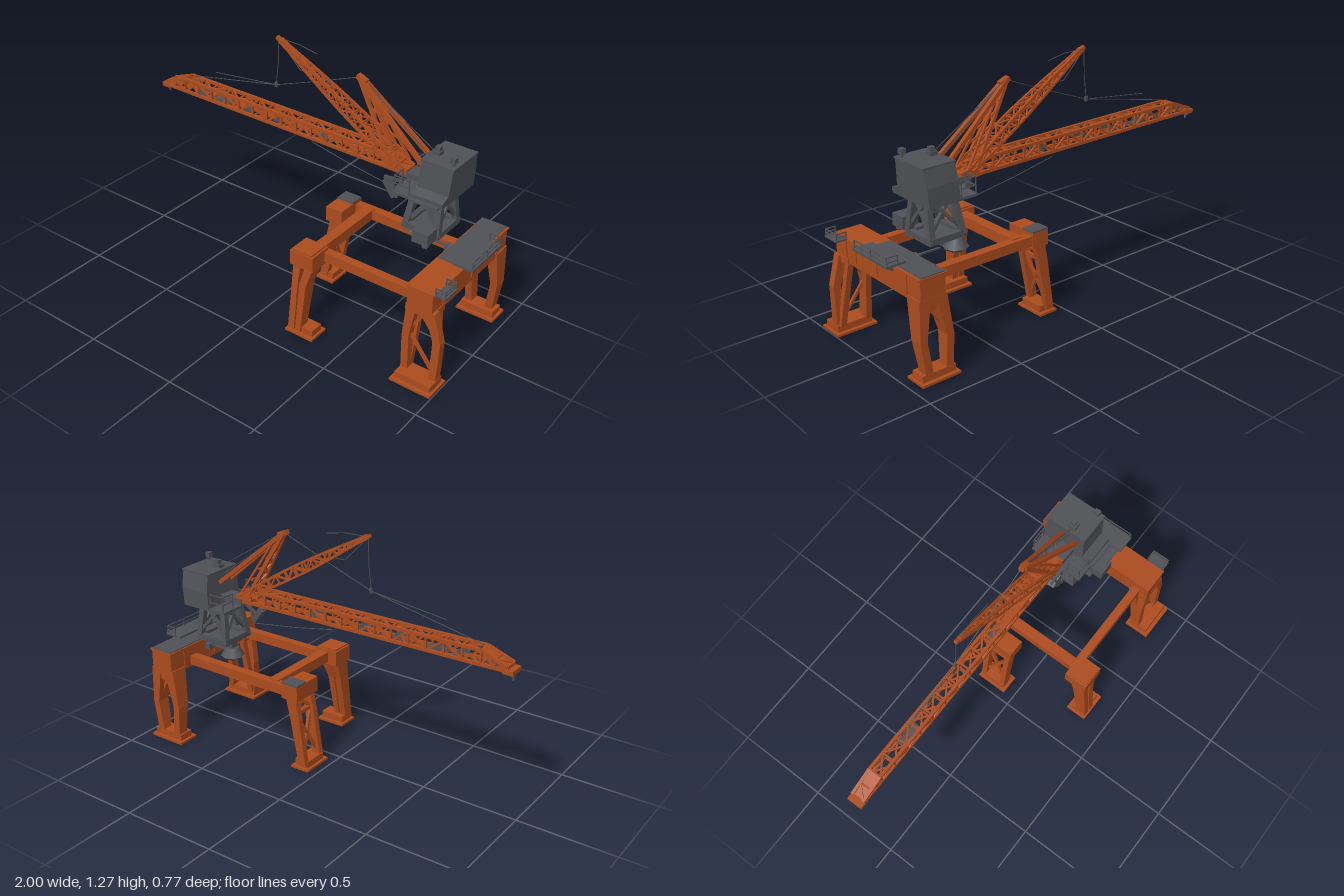
import * as THREE from 'three';
import { mergeGeometries } from 'three/addons/utils/BufferGeometryUtils.js';

const V = (p) => new THREE.Vector3(...p);
const lerp = (a, b, t) => a.map((v, i) => v + (b[i] - v) * t);

// box given by its limits on each axis
function box(x0, x1, y0, y1, z0, z1) {
  return new THREE.BoxGeometry(x1 - x0, y1 - y0, z1 - z0)
    .translate((x0 + x1) / 2, (y0 + y1) / 2, (z0 + z1) / 2);
}

// square or flat bar from a to b
function bar(a, b, w = 0.01, d = w) {
  const A = V(a), B = V(b), dir = B.clone().sub(A);
  const len = dir.length();
  const up = Math.abs(dir.z) > 0.95 * len ? new THREE.Vector3(0, 1, 0) : new THREE.Vector3(0, 0, 1);
  const m = new THREE.Matrix4().lookAt(B, A, up).setPosition(A.add(B).multiplyScalar(0.5));
  return new THREE.BoxGeometry(w, d, len).applyMatrix4(m);
}

const path = (pts, w, d = w) => pts.slice(1).map((p, i) => bar(pts[i], p, w, d));

// bent, tapering post through level sections [x, y, z, width, depth], listed from the top down
function post(sections) {
  return sections.slice(1).map((low, i) => {
    const g = new THREE.BoxGeometry(1, 1, 1), p = g.attributes.position;
    for (let k = 0; k < p.count; k++) {
      const s = p.getY(k) > 0 ? sections[i] : low;
      p.setXYZ(k, s[0] + p.getX(k) * s[3], s[1], s[2] + p.getZ(k) * s[4]);
    }
    g.computeVertexNormals();
    return g;
  });
}

// X brace between two edges a0-a1 and b0-b1
const cross = (a0, a1, b0, b1, w) => [bar(a0, b1, w), bar(b0, a1, w)];

// four-chord lattice through a list of sections (each: 4 corners in a ring)
function lattice(sections, chord, web) {
  const out = [];
  sections.forEach((s, i) => {
    for (let k = 0; k < 4; k++) {
      const n = (k + 1) % 4;
      out.push(bar(s[k], s[n], web));
      const t = sections[i + 1];
      if (!t) continue;
      out.push(bar(s[k], t[k], chord));
      out.push(i % 2 ? bar(s[k], t[n], web) : bar(s[n], t[k], web));
    }
  });
  return out;
}

// posts with standing handrail around a list of points
function railing(pts, h, w = 0.005) {
  const up = (p, f) => [p[0], p[1] + h * f, p[2]];
  return [
    ...pts.map((p) => bar(p, up(p, 1), w)),
    ...path(pts.map((p) => up(p, 1)), w), ...path(pts.map((p) => up(p, 0.5)), w),
  ];
}

export function createModel() {
  const orange = new THREE.MeshStandardMaterial({ color: 0xab4b1e });
  const gray = new THREE.MeshStandardMaterial({ color: 0x505156 });
  gray.side = THREE.DoubleSide;
  orange.name = 'rustOrange'; gray.name = 'slateGray';

  const model = new THREE.Group();
  const add = (name, mat, geos) => {
    const m = new THREE.Mesh(mergeGeometries(geos), mat);
    m.name = name;
    model.add(m);
  };

  // portal frame
  add('mainBeam', orange, [
    box(0.805, 0.935, 0.38, 0.5, -0.365, 0.305), box(0.798, 0.942, 0.494, 0.502, -0.37, 0.308),
    ...[-0.27, -0.04, 0.13, 0.21].map((z) => box(0.8, 0.94, 0.4, 0.5, z, z + 0.008)),
    box(0.80, 0.94, 0.368, 0.4, 0.2, 0.306), box(0.80, 0.94, 0.368, 0.4, -0.366, -0.27),
  ]);
  add('beamDeck', gray, [box(0.805, 0.93, 0.502, 0.507, -0.365, 0.05)]);
  add('tieBeams', orange, [
    box(0.30, 0.81, 0.39, 0.44, 0.215, 0.258),
    box(0.15, 0.81, 0.39, 0.44, -0.222, -0.175),
    box(0.24, 0.295, 0.39, 0.445, -0.2, 0.26),
  ]);

  // legs: two bent posts on a foot
  const leg = (name, p, q, foot, braces) => {
    const [x0, x1, z0, z1] = foot;
    add(name, orange, [
      ...post(p), ...post(q), ...braces,
      box(x0, x1, 0, 0.012, z0, z1), box(x0 + 0.015, x1 - 0.012, 0.01, 0.045, z0 + 0.02, z1 - 0.02),
    ]);
  };
  const rear = (z) => [[0.15, 0.41, z, 0.06, 0.03], [0.122, 0.28, z, 0.055, 0.03], [0.078, 0.02, z, 0.042, 0.03]];
  const [r1, r2] = [-0.085, -0.205];
  leg('backRightLeg', rear(r1), rear(r2), [0.04, 0.145, -0.225, -0.055], [
    ...cross([0.085, 0.06, r1], [0.125, 0.29, r1], [0.085, 0.06, r2], [0.125, 0.29, r2], 0.016),
    ...cross([0.125, 0.3, r1], [0.145, 0.39, r1], [0.125, 0.3, r2], [0.145, 0.39, r2], 0.014),
    bar([0.125, 0.295, r1], [0.125, 0.295, r2], 0.018),
  ]);
  leg('frontRightLeg',
    [[0.222, 0.41, 0.29, 0.045, 0.09], [0.217, 0.28, 0.315, 0.035, 0.07], [0.212, 0.02, 0.35, 0.035, 0.055]],
    [[0.298, 0.41, 0.29, 0.045, 0.09], [0.262, 0.28, 0.315, 0.038, 0.07], [0.252, 0.02, 0.35, 0.03, 0.055]],
    [0.182, 0.342, 0.27, 0.385], [bar([0.217, 0.28, 0.315], [0.262, 0.28, 0.315], 0.02)]);
  leg('frontLeftLeg',
    [[0.83, 0.4, 0.285, 0.05, 0.04], [0.807, 0.22, 0.285, 0.036, 0.04], [0.815, 0.02, 0.29, 0.036, 0.045]],
    [[0.925, 0.4, 0.285, 0.05, 0.04], [0.968, 0.25, 0.285, 0.04, 0.04], [0.962, 0.02, 0.29, 0.036, 0.045]],
    [0.78, 0.995, 0.24, 0.38], [
      bar([0.83, 0.39, 0.22], [0.815, 0.04, 0.268], 0.03), bar([0.92, 0.39, 0.22], [0.955, 0.04, 0.268], 0.03),
      bar([0.81, 0.25, 0.28], [0.9, 0.38, 0.28], 0.014), bar([0.96, 0.25, 0.28], [0.86, 0.38, 0.28], 0.014),
      bar([0.81, 0.24, 0.28], [0.95, 0.06, 0.28], 0.014),
    ]);
  leg('backLeftLeg',
    [[0.828, 0.4, -0.318, 0.06, 0.095], [0.787, 0.2, -0.333, 0.036, 0.07], [0.795, 0.02, -0.342, 0.04, 0.05]],
    [[0.912, 0.4, -0.318, 0.06, 0.095], [0.928, 0.2, -0.333, 0.036, 0.07], [0.9, 0.02, -0.342, 0.04, 0.05]],
    [0.75, 0.955, -0.388, -0.27], [
      ...post([[0.87, 0.4, -0.318, 0.1, 0.08], [0.87, 0.335, -0.322, 0.03, 0.07]]),
      bar([0.87, 0.34, -0.322], [0.8, 0.24, -0.33], 0.018), bar([0.87, 0.34, -0.322], [0.92, 0.24, -0.33], 0.018),
    ]);
  add('legCaps', orange, [
    box(0.1, 0.195, 0.375, 0.455, -0.225, -0.055), box(0.19, 0.32, 0.375, 0.455, 0.225, 0.35),
    box(0.2, 0.31, 0.455, 0.463, 0.235, 0.345),
  ]);
  add('legCapCover', gray, [box(0.1, 0.195, 0.455, 0.462, -0.225, -0.15)]);

  // service platform beside the beam
  add('sidePlatform', gray, [
    box(0.89, 0.992, 0.507, 0.518, -0.2, 0.065),
    ...railing([[0.985, 0.51, 0.06], [0.985, 0.51, -0.07], [0.985, 0.51, -0.195], [0.93, 0.51, -0.195]], 0.045),
    bar([0.94, 0.48, 0.03], [0.985, 0.51, 0.03], 0.01), bar([0.94, 0.48, -0.17], [0.985, 0.51, -0.17], 0.01),
    box(0.94, 0.995, 0.495, 0.503, 0.2, 0.3),
    ...railing([[0.94, 0.5, 0.205], [0.99, 0.5, 0.205], [0.99, 0.5, 0.295], [0.94, 0.5, 0.295]], 0.034),
  ]);

  // slewing tower
  const ring = (x0, x1, y, z0, z1) => [[x0, y, z0], [x1, y, z0], [x1, y, z1], [x0, y, z1]];
  const low = ring(0.58, 0.75, 0.56, -0.19, -0.025), high = ring(0.61, 0.74, 0.75, -0.16, -0.055);
  const tower = [box(0.565, 0.765, 0.545, 0.56, -0.205, -0.01), box(0.6, 0.75, 0.725, 0.745, -0.175, -0.04)];
  low.forEach((p, i) => {
    const n = (i + 1) % 4;
    tower.push(bar(p, high[i], 0.03), bar(p, low[n], 0.03));
    const a = lerp(p, high[i], 0.15), b = lerp(low[n], high[n], 0.15);
    tower.push(...cross(a, high[i], b, high[n], 0.016));
  });
  add('tower', gray, tower);
  add('winchBoxes', gray, [
    box(0.68, 0.765, 0.56, 0.62, 0.005, 0.085), box(0.69, 0.72, 0.54, 0.56, 0.015, 0.04),
    box(0.73, 0.755, 0.54, 0.56, 0.05, 0.075), box(0.66, 0.75, 0.55, 0.56, -0.03, 0.03),
  ]);
  add('grab', gray, [
    new THREE.CylinderGeometry(0.035, 0.062, 0.045, 8).translate(0.58, 0.5, -0.14),
    new THREE.CylinderGeometry(0.062, 0.045, 0.014, 8).translate(0.58, 0.47, -0.14),
    box(0.565, 0.6, 0.515, 0.55, -0.16, -0.12),
  ]);
  add('lowerRail', gray, [bar([0.64, 0.472, -0.1], [0.8, 0.472, -0.1], 0.008), box(0.76, 0.79, 0.45, 0.48, -0.12, -0.08)]);

  // machinery house, profile in z and y, leaning slightly back with height
  const house = new THREE.Shape([[0.03, 0.74], [0.03, 0.768], [-0.015, 0.785], [-0.025, 0.922],
    [-0.232, 0.922], [-0.25, 0.835], [-0.25, 0.74]].map((p) => new THREE.Vector2(-p[0], p[1])));
  const houseGeo = new THREE.ExtrudeGeometry(house, { depth: 0.165, bevelEnabled: false }).rotateY(Math.PI / 2);
  const hp = houseGeo.attributes.position;
  for (let i = 0; i < hp.count; i++) hp.setX(i, hp.getX(i) + 0.628 + (hp.getY(i) - 0.74) * 0.08);
  houseGeo.computeVertexNormals();
  add('machineryHouse', gray, [houseGeo]);
  add('houseRoof', gray, [
    box(0.638, 0.812, 0.918, 0.926, -0.236, -0.02),
    box(0.655, 0.695, 0.926, 0.945, -0.13, -0.09), box(0.665, 0.69, 0.945, 0.965, -0.125, -0.1),
    box(0.785, 0.795, 0.926, 0.945, -0.06, -0.05), box(0.778, 0.802, 0.942, 0.967, -0.07, -0.04),
  ]);
  add('walkway', gray, [
    box(0.53, 0.635, 0.74, 0.752, -0.25, 0.04), box(0.63, 0.78, 0.74, 0.75, 0.02, 0.05),
    ...railing([[0.62, 0.75, 0.03], [0.54, 0.75, 0.03], [0.54, 0.75, -0.04]], 0.08),
    ...railing([[0.54, 0.75, -0.17], [0.54, 0.75, -0.245], [0.62, 0.75, -0.245]], 0.08),
    box(0.5, 0.64, 0.77, 0.8, -0.15, -0.07),
  ]);
  // hanging bracket under the boom root
  add('bracket', gray, [
    ...path([[0.53, 0.75, -0.06], [0.43, 0.745, -0.06], [0.5, 0.655, -0.06], [0.52, 0.75, -0.06]], 0.012),
    bar([0.44, 0.735, -0.06], [0.495, 0.66, -0.06], 0.03, 0.035), bar([0.48, 0.7, -0.06], [0.56, 0.745, -0.06], 0.012),
  ]);

  // main boom
  const zc = -0.106;
  const rect = (x0, y0, x1, y1, h, z = zc) => [[x0, y0, z - h], [x0, y0, z + h], [x1, y1, z + h], [x1, y1, z - h]];
  const boomAt = (x) => {
    const top = x < -0.84 ? 0.872 - (-0.84 - x) * 0.36 : x > 0.4 ? 0.857 - (x - 0.4) * 0.36 : 0.872 - (x + 0.84) * 0.012;
    return rect(x, top, x, 0.807 - (x + 0.98) * 0.012, 0.031);
  };
  const xs = [-0.97, -0.91];
  for (let i = 0; i <= 15; i++) xs.push(-0.84 + i * 0.092);
  add('boom', orange, lattice(xs.map(boomAt), 0.015, 0.009));
  add('boomTip', orange, [
    box(-1, -0.95, 0.793, 0.815, -0.146, -0.066), bar([-0.97, 0.81, zc], [-0.84, 0.87, zc], 0.02, 0.05),
    box(0.44, 0.54, 0.78, 0.81, -0.145, -0.07),
  ]);
  add('tipHook', gray, [box(-0.995, -0.98, 0.775, 0.795, -0.12, -0.095), bar([-0.99, 0.78, zc], [-0.985, 0.757, zc], 0.008)]);

  // gusset plates along the boom sides
  const gussets = [];
  [-0.9, -0.73, -0.62, -0.41, -0.22, 0.06].forEach((x) => [-0.026, 0.026].forEach((dz) => {
    const s = new THREE.Shape([[x - 0.035, 0.81], [x + 0.035, 0.81], [x, 0.85]].map((p) => new THREE.Vector2(...p)));
    gussets.push(new THREE.ShapeGeometry(s).translate(0, 0, zc + dz));
  }));
  add('boomGussets', gray, gussets);
  add('boomCatwalk', gray, [box(-0.66, -0.54, 0.812, 0.816, -0.125, -0.09)]);

  // luffing strut, a tapering lattice
  const strut = [];
  for (let i = 0; i <= 13; i++) {
    const t = i / 13, c = lerp([0.49, 0.82], [-0.215, 1.25], t), e = 0.008 + 0.017 * Math.sin(Math.PI * Math.min(1, t + 0.08));
    strut.push(rect(c[0] + e * 0.5, c[1] + e * 0.85, c[0] - e * 0.5, c[1] - e * 0.85, 0.045 - 0.04 * t, zc + 0.006 * t));
  }
  add('luffingStrut', orange, [...lattice(strut, 0.011, 0.007), bar([-0.2, 1.24, -0.1], [-0.235, 1.26, -0.1], 0.018)]);

  // A-frame mast
  const peak = (s) => [0.25, 1.185, -0.102 + s * 0.008];
  const mast = [bar([0.235, 1.19, -0.102], [0.285, 1.17, -0.102], 0.022, 0.028)];
  [-1, 1].forEach((s) => {
    const front = [0.46, 0.82, zc + s * 0.043], back = [0.635, 0.865, zc + s * 0.043];
    mast.push(bar(peak(s), front, 0.016), bar(peak(s), back, 0.02), bar(lerp(peak(s), back, 0.15), [0.51, 0.82, zc + s * 0.043], 0.01));
    for (let i = 1; i < 6; i++) {
      const a = lerp(peak(s), front, i / 6), b = lerp(peak(s), [0.51, 0.82, zc + s * 0.043], (i + 0.4) / 6);
      mast.push(bar(a, b, 0.008));
      mast.push(bar(a, lerp(peak(-s), [0.46, 0.82, zc - s * 0.043], (i + 1) / 6), 0.007));
    }
  });
  add('aFrameMast', orange, mast);

  // stay ropes and hoist ropes
  const ropes = [
    [[-0.23, 1.25], [-0.235, 1.12], [-0.25, 1.0]], [[-0.25, 1.0], [-0.65, 0.955]], [[-0.25, 1.0], [-0.84, 0.885]],
    [[-0.25, 1.0], [0.0, 1.09], [0.25, 1.185]], [[-0.23, 1.255], [-0.1, 1.25], [0.0, 1.23]],
    [[-0.2, 1.22], [-0.1, 1.12], [0.0, 1.12]], [[0.25, 1.19], [0.67, 0.93]], [[0.25, 1.19], [0.64, 0.9]],
    [[-0.03, 0.755], [0.2, 0.71], [0.46, 0.67]],
  ];
  add('ropes', gray, ropes.flatMap((r) => path(r.map((p) => [...p, zc]), 0.003)));
  add('ropeBlock', gray, [box(-0.255, -0.243, 0.99, 1.015, zc - 0.006, zc + 0.006)]);

  return model;
}
